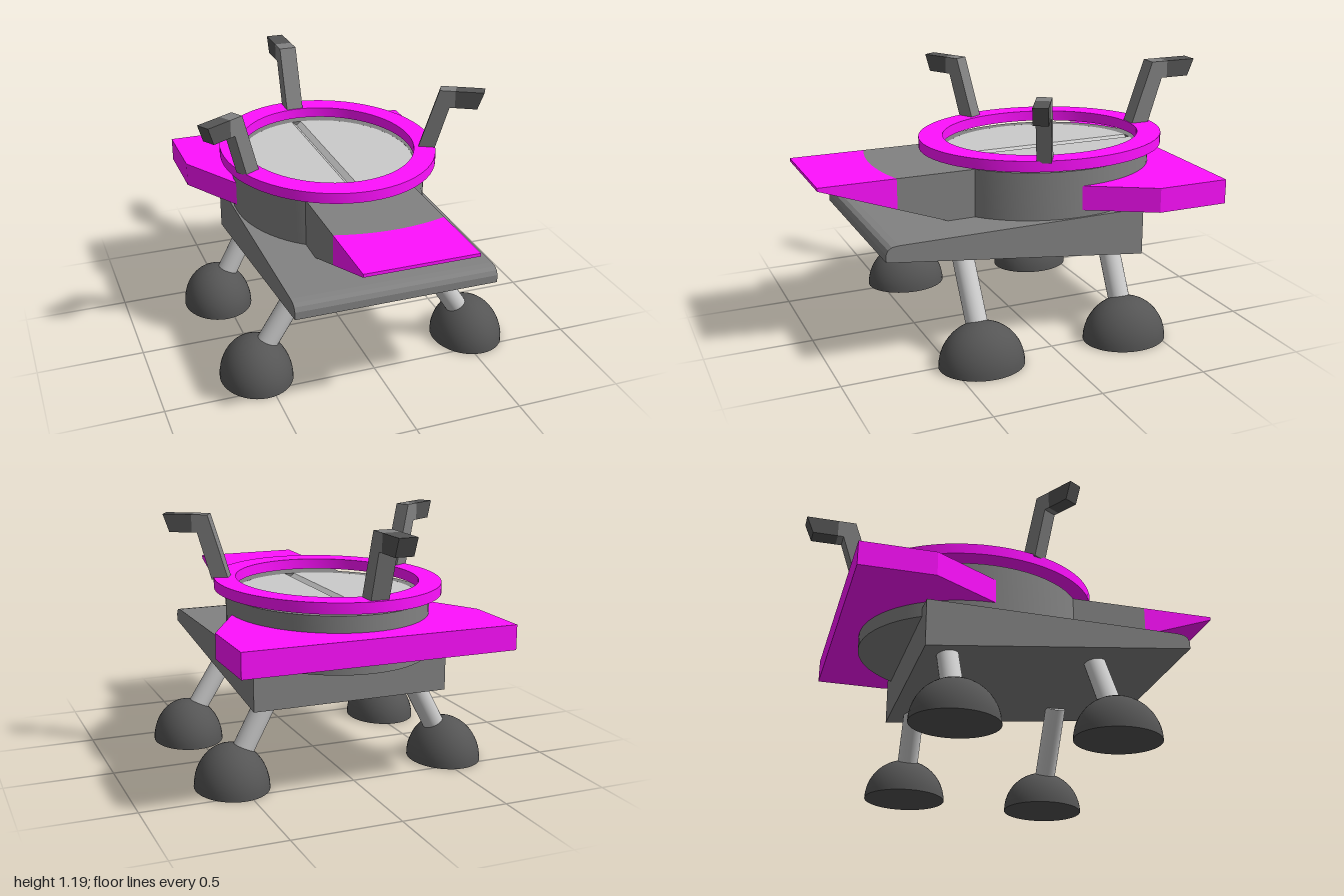
import * as THREE from 'three';
import { toCreasedNormals } from 'three/addons/utils/BufferGeometryUtils.js';

const paint = (color) => new THREE.MeshStandardMaterial({ color });
const light = paint(0xcccccc), grey = paint(0x828282), dark = paint(0x555555), magenta = paint(0xff10ff);
const CZ = -0.167; // centre of the oval drum and ring
const rad = THREE.MathUtils.degToRad;

function add(parent, name, geometry, material) {
  const mesh = new THREE.Mesh(geometry, material);
  mesh.name = name;
  parent.add(mesh);
  return mesh;
}

// Oval turned solid: profile of [radius ratio, y], stretched to rx by rz
function oval(profile, rx, rz, segments = 64) {
  const g = new THREE.LatheGeometry(profile.map(([r, y]) => new THREE.Vector2(r, y)), segments);
  g.scale(rx, 1, rz);
  return toCreasedNormals(g, rad(35));
}

// Plan outline of [x, z] raised into a solid; move(x, top, z) returns the new [x, y]
function plan(points, move) {
  const shape = new THREE.Shape(points.map(([x, z]) => new THREE.Vector2(x, -z)));
  const g = new THREE.ExtrudeGeometry(shape, { depth: 1, bevelEnabled: false });
  g.rotateX(-Math.PI / 2);
  const p = g.attributes.position;
  for (let i = 0; i < p.count; i++) {
    const [x, y] = move(p.getX(i), p.getY(i) > 0.5, p.getZ(i));
    p.setX(i, x);
    p.setY(i, y);
  }
  g.computeVertexNormals();
  return toCreasedNormals(g, rad(20));
}

// Side outline of [length, y], given a width centred on z = 0
function side(points, width) {
  const shape = new THREE.Shape(points.map(([u, y]) => new THREE.Vector2(u, y)));
  const g = new THREE.ExtrudeGeometry(shape, { depth: width, bevelEnabled: false });
  return g.translate(0, 0, -width / 2);
}

// Row of [x, z] points across the tongue
function across(fn, half = 0.257, n = 16) {
  return Array.from({ length: n + 1 }, (_, i) => {
    const x = -half + (2 * half * i) / n;
    return [x, fn(x)];
  });
}

export function createModel() {
  const model = new THREE.Group();
  model.name = 'lander';

  // Sloping base slab with a rounded front lip
  const slab = add(model, 'baseSlab', side([
    [-0.48, 0.375], [0.77, 0.52], [0.77, 0.555], [0.76, 0.575], [0.742, 0.586], [0.71, 0.59], [-0.48, 0.6],
  ], 0.94), grey);
  slab.rotation.y = -Math.PI / 2;

  // Oval drum with a shallow well for the hatch
  add(model, 'drum', oval([[0, 0.56], [1, 0.56], [1, 0.82], [0.897, 0.82], [0.897, 0.8], [0, 0.8]], 0.462, 0.535), grey)
    .position.z = CZ;

  // Two hatch doors meeting in a V groove
  for (const s of [1, -1]) {
    const edge = [];
    for (let i = 0; i <= 32; i++) {
      const a = -Math.PI / 2 + (Math.PI * i) / 32;
      edge.push([s * Math.max(0.024, 0.414 * Math.cos(a)), 0.48 * Math.sin(a)]);
    }
    const door = plan(edge, (x, top) => [!top && Math.abs(x) < 0.025 ? 0 : x, top ? 0.82 : 0.8]);
    add(model, s > 0 ? 'leftHatchDoor' : 'rightHatchDoor', door, light).position.z = CZ;
  }

  // Floating ring above the hatch
  add(model, 'ring', oval([[1, 0.84], [1, 0.89], [0.805, 0.89], [0.805, 0.84], [1, 0.84]], 0.515, 0.597), magenta)
    .position.z = CZ;

  // Wedge tongue at the front with a coloured tip
  const wedge = (x, top, z) => [x, top ? 0.82 : 0.805 - (1 - z) * 0.36];
  const seam = across((x) => 0.685 - 0.04 * (x / 0.257) ** 2);
  const root = across((x) => CZ + 0.51 * Math.sqrt(1 - (x / 0.44) ** 2));
  add(model, 'tongue', plan([...seam, ...root.reverse()], wedge), grey);
  add(model, 'tongueTip', plan([...seam, [0.257, 1], [-0.257, 1]], wedge), magenta);

  // Wing plate around the back of the drum
  add(model, 'rearWing', plan(
    [[-0.635, -0.815], [0.635, -0.815], [0.635, -0.47], [0.455, -0.152], [-0.455, -0.152], [-0.635, -0.47]],
    (x, top) => [x, top ? 0.745 : 0.63],
  ), magenta);

  // Three hooked claws standing on the ring
  for (const [name, angle, x, z, k, top, width] of [
    ['leftClaw', -30, 0.415, 0, 1, 1.18, 0.068],
    ['rightClaw', -150, -0.415, 0, 1, 1.18, 0.068],
    ['rearClaw', 90, -0.005, -0.65, 1.13, 1.19, 0.085],
  ]) {
    const claw = new THREE.Group();
    claw.name = name;
    claw.position.set(x, 0, z);
    claw.rotation.y = rad(angle);
    const low = top - 0.083;
    const part = (pts) => side(pts.map(([u, y]) => [u * k, y]), width);
    add(claw, 'clawArm', part([[0, 0.88], [0.08, 0.88], [0.145, low], [0.17, low], [0.17, top], [0.095, top]]), grey);
    add(claw, 'clawTip', part([[0.17, low], [0.275, low], [0.305, top], [0.17, top]]), dark);
    model.add(claw);
  }

  // Four splayed legs with domed feet
  const dome = [[0, 0]];
  for (let i = 0; i <= 12; i++) {
    const a = (Math.PI / 2) * (i / 12);
    dome.push([Math.cos(a), 0.2 * Math.sin(a)]);
  }
  const foot = oval(dome, 0.17, 0.198, 40);
  for (const s of [1, -1]) {
    for (const [name, z, topX, topY, endX, endY] of [
      ['front', 0.363, 0.29, 0.475, 0.54, 0.075],
      ['rear', -0.358, 0.345, 0.43, 0.53, 0.08],
    ]) {
      const leg = new THREE.Group();
      leg.name = name + (s > 0 ? 'LeftLeg' : 'RightLeg');
      add(leg, 'foot', foot, dark).position.set(s * 0.537, 0, z);
      const a = new THREE.Vector3(s * endX, endY, z), b = new THREE.Vector3(s * topX, topY, z);
      const dir = b.clone().sub(a);
      const strut = add(leg, 'strut', new THREE.CylinderGeometry(0.05, 0.05, dir.length(), 24), light);
      strut.position.copy(a).add(b).multiplyScalar(0.5);
      strut.quaternion.setFromUnitVectors(new THREE.Vector3(0, 1, 0), dir.normalize());
      model.add(leg);
    }
  }
  return model;
}
